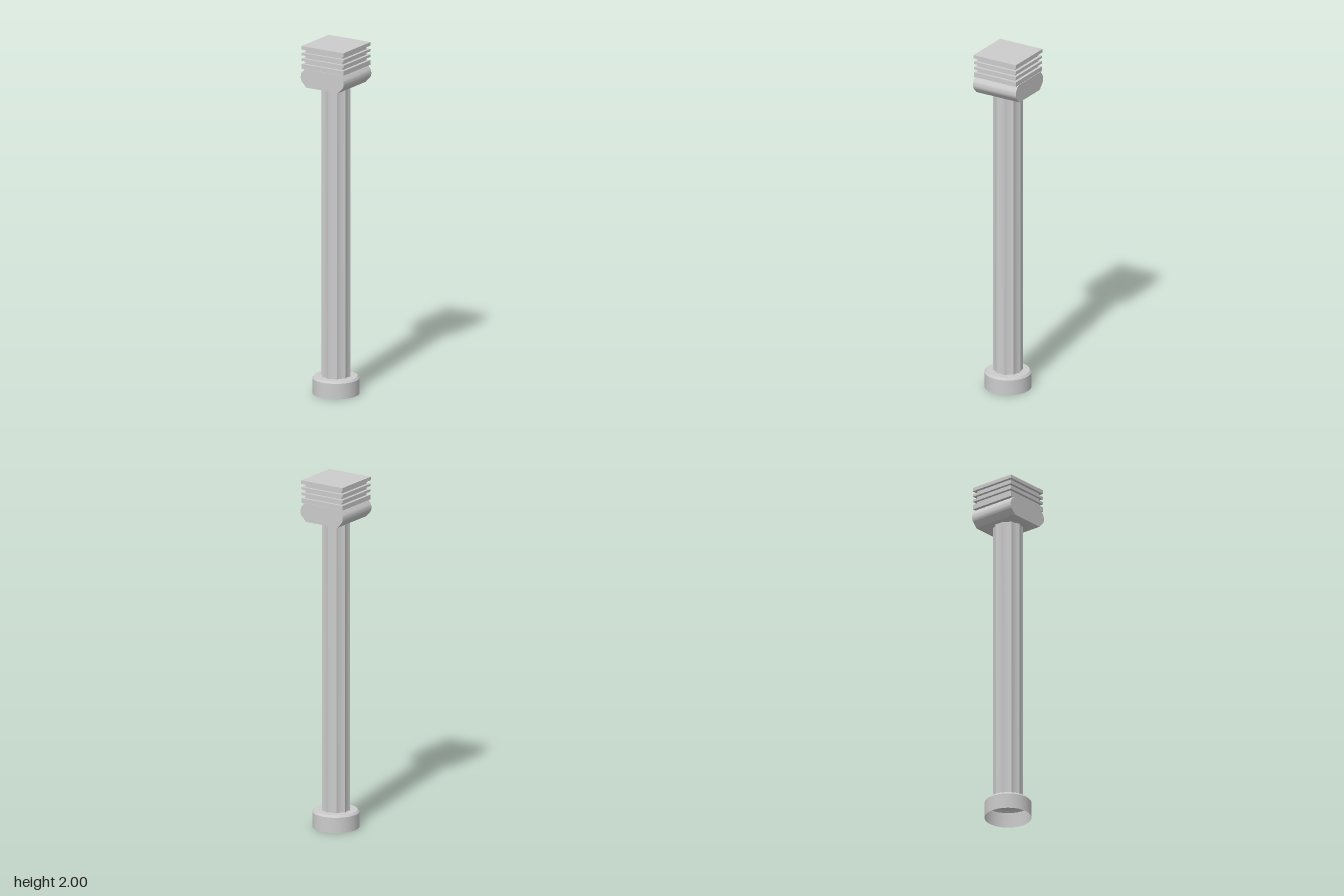
import * as THREE from 'three';
import { toCreasedNormals } from 'three/addons/utils/BufferGeometryUtils.js';

const material = new THREE.MeshStandardMaterial({ color: 0xcccccc });
const shellMaterial = new THREE.MeshStandardMaterial({ color: 0xcccccc, side: THREE.DoubleSide });

function addMesh(parent, name, geometry, mat = material) {
  const mesh = new THREE.Mesh(geometry, mat);
  mesh.name = name;
  parent.add(mesh);
  return mesh;
}

// Hollow round base, open underneath, with a bevelled upper rim
function baseGeometry() {
  const profile = [[0.13, 0], [0.13, 0.088], [0.12, 0.1], [0.06, 0.1]]
    .map(([r, y]) => new THREE.Vector2(r, y));
  return toCreasedNormals(new THREE.LatheGeometry(profile, 48), 0.4);
}

// Shaft with shallow concave flutes meeting at sharp ridges
function shaftGeometry(flutes, radius, bottom, top) {
  const shape = new THREE.Shape();
  const step = (Math.PI * 2) / flutes;
  const hollow = radius * 0.85;
  shape.moveTo(0, radius);
  for (let i = 0; i < flutes; i++) {
    const mid = Math.PI / 2 + (i + 0.5) * step;
    const end = Math.PI / 2 + (i + 1) * step;
    shape.quadraticCurveTo(
      hollow * Math.cos(mid), hollow * Math.sin(mid),
      radius * Math.cos(end), radius * Math.sin(end));
  }
  const geometry = new THREE.ExtrudeGeometry(shape, {
    depth: top - bottom, bevelEnabled: false, curveSegments: 8,
  });
  geometry.rotateX(-Math.PI / 2).translate(0, bottom, 0);
  return toCreasedNormals(geometry, 0.5);
}

// Bolster with flat front and back, and rounded cheeks on left and right
function bolsterGeometry() {
  const shape = new THREE.Shape();
  shape.moveTo(-0.105, 1.767);
  shape.lineTo(0.105, 1.767);
  shape.lineTo(0.133, 1.797);
  shape.bezierCurveTo(0.144, 1.81, 0.144, 1.833, 0.135, 1.848);
  shape.lineTo(0.115, 1.872);
  shape.lineTo(-0.115, 1.872);
  shape.lineTo(-0.135, 1.848);
  shape.bezierCurveTo(-0.144, 1.833, -0.144, 1.81, -0.133, 1.797);
  shape.closePath();
  const geometry = new THREE.ExtrudeGeometry(shape, {
    depth: 0.28, bevelEnabled: false, curveSegments: 10,
  });
  geometry.translate(0, 0, -0.14);
  return toCreasedNormals(geometry, 0.5);
}

export function createModel() {
  const column = new THREE.Group();
  column.name = 'column';

  addMesh(column, 'base', baseGeometry(), shellMaterial);
  addMesh(column, 'shaft', shaftGeometry(10, 0.082, 0.095, 1.77));

  const capital = new THREE.Group();
  capital.name = 'capital';
  column.add(capital);
  addMesh(capital, 'bolster', bolsterGeometry());

  // Square slabs alternating with recessed necks: [half width, bottom, top]
  const layers = [
    [0.137, 1.87, 1.897],
    [0.121, 1.897, 1.915],
    [0.137, 1.915, 1.929],
    [0.121, 1.929, 1.947],
    [0.137, 1.947, 1.961],
    [0.121, 1.961, 1.98],
    [0.138, 1.98, 2.0],
  ];
  layers.forEach(([half, bottom, top], i) => {
    const slab = addMesh(capital, i % 2 ? 'neck' : 'slab',
      new THREE.BoxGeometry(half * 2, top - bottom, half * 2));
    slab.position.y = (bottom + top) / 2;
  });

  return column;
}
